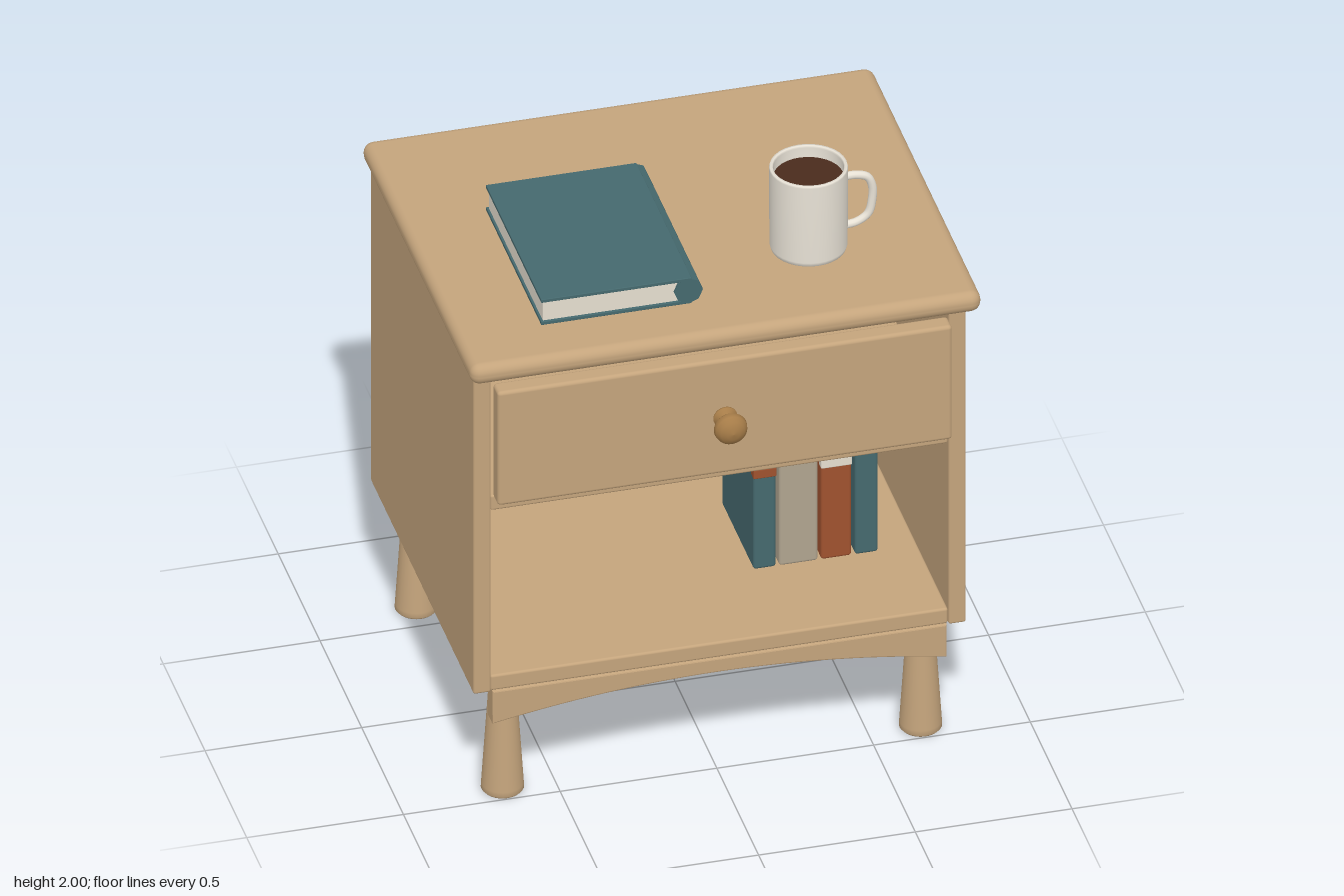
import * as THREE from 'three';
import { RoundedBoxGeometry } from 'three/addons/geometries/RoundedBoxGeometry.js';

const mat = (color, opts = {}) => {
  const m = new THREE.MeshStandardMaterial(opts);
  m.color.set(color);
  return m;
};

export function createModel() {
  const root = new THREE.Group();
  const wood = mat(0xc4a47c), brass = mat(0xa67c48), teal = mat(0x45696e);
  const rust = mat(0xa0522f), stone = mat(0xb0a48f), cream = mat(0xe6dfd0);
  const china = mat(0xe8e2d6, { side: THREE.DoubleSide }), coffee = mat(0x4a2b1c);
  const tealFlat = mat(0x45696e, { flatShading: true });

  const add = (name, geo, material, parent = root) => {
    const mesh = new THREE.Mesh(geo, material);
    mesh.name = name;
    parent.add(mesh);
    return mesh;
  };
  // Softened box given by its extents on each axis
  const box = (name, [x0, x1], [y0, y1], [z0, z1], material, r = 0.008, parent = root) => {
    const geo = new RoundedBoxGeometry(x1 - x0, y1 - y0, z1 - z0, 3, r);
    geo.translate((x0 + x1) / 2, (y0 + y1) / 2, (z0 + z1) / 2);
    return add(name, geo, material, parent);
  };
  const group = (name) => {
    const g = new THREE.Group();
    g.name = name;
    root.add(g);
    return g;
  };
  const lathe = (pts, n) => new THREE.LatheGeometry(pts.map(([x, y]) => new THREE.Vector2(x, y)), n);

  // Cabinet body
  const inner = [-0.73, 0.73];
  box('top', [-0.815, 0.815], [1.625, 1.697], [-0.7, 0.625], wood, 0.033);
  for (const s of [-1, 1]) {
    box(s > 0 ? 'leftSide' : 'rightSide', s > 0 ? [0.73, 0.786] : [-0.786, -0.73],
      [0.43, 1.626], [-0.697, 0.537], wood);
  }
  box('upperPanel', inner, [1.57, 1.618], [-0.685, 0.527], wood);
  box('drawerDivider', inner, [1.097, 1.153], [-0.67, 0.53], wood);
  box('bottomShelf', inner, [0.43, 0.486], [-0.685, 0.53], wood);
  box('backPanel', inner, [0.484, 1.572], [-0.685, -0.645], wood);

  // Drawer with a turned knob
  box('drawerFront', [-0.725, 0.725], [1.157, 1.577], [0.537, 0.6], wood, 0.012);
  const knob = add('knob', lathe([
    [0, -0.005], [0.038, -0.005], [0.038, 0.006], [0.024, 0.016], [0.019, 0.03], [0.024, 0.04],
    [0.044, 0.048], [0.053, 0.062], [0.05, 0.078], [0.038, 0.092], [0.02, 0.101], [0, 0.104],
  ], 32), brass);
  knob.rotation.x = Math.PI / 2;
  knob.position.set(0, 1.365, 0.6);

  // Arched apron under the shelf
  const arch = new THREE.Shape();
  arch.moveTo(-0.72, 0.315);
  arch.quadraticCurveTo(0, 0.452, 0.72, 0.315);
  arch.lineTo(0.72, 0.425);
  arch.lineTo(-0.72, 0.425);
  const apron = add('apron', new THREE.ExtrudeGeometry(arch, {
    depth: 0.05, bevelThickness: 0.005, bevelSize: 0.005, bevelSegments: 2, curveSegments: 28,
  }), wood);
  apron.position.z = 0.48;

  // Tapered round legs, wider at the foot
  const legGeo = lathe([[0, 0], [0.06, 0], [0.067, 0.008], [0.066, 0.025], [0.042, 0.4], [0.041, 0.435]], 28);
  for (const x of [-0.667, 0.667]) {
    for (const z of [0.435, -0.597]) {
      add('leg', legGeo, wood).position.set(x, 0, z);
    }
  }

  // Upright books: x range, top, cover, band height, band material
  const shelfBooks = group('shelfBooks');
  for (const [x0, x1, top, cover, bandY, band] of [
    [0.205, 0.277, 0.94, teal, 0.84, rust],
    [0.287, 0.411, 1.0, stone, 0.892, teal],
    [0.421, 0.518, 0.94, rust, 0.842, cream],
    [0.529, 0.603, 1.0, teal, 0.89, rust],
  ]) {
    box('uprightBook', [x0, x1], [0.486, top], [-0.21, 0.17], cover, 0.01, shelfBooks);
    box('spineBand', [x0 - 0.001, x1 + 0.001], [bandY - 0.017, bandY + 0.017], [0.14, 0.174],
      band, 0.004, shelfBooks);
  }

  // Book lying on the top
  const flatBook = group('lyingBook');
  const depth = [-0.22, 0.443];
  box('lowerCover', [-0.545, -0.065], [1.697, 1.709], depth, teal, 0.002, flatBook);
  box('upperCover', [-0.545, -0.065], [1.779, 1.791], depth, teal, 0.002, flatBook);
  box('pages', [-0.538, -0.075], [1.707, 1.781], [-0.212, 0.435], cream, 0.002, flatBook);
  const spine = add('bookSpine', new THREE.CylinderGeometry(0.046, 0.046, 0.663, 8), tealFlat, flatBook);
  spine.rotation.x = Math.PI / 2;
  spine.position.set(-0.075, 1.744, 0.1115);

  // Mug with coffee and handle
  const mug = group('mug');
  mug.position.set(0.363, 1.697, 0.235);
  add('cup', lathe([
    [0, 0], [0.108, 0], [0.117, 0.006], [0.121, 0.02], [0.122, 0.296], [0.12, 0.303], [0.112, 0.303],
    [0.109, 0.296], [0.109, 0.03], [0, 0.025],
  ], 32), china, mug);
  const surface = add('coffee', new THREE.CircleGeometry(0.11, 32), coffee, mug);
  surface.rotation.x = -Math.PI / 2;
  surface.position.y = 0.262;
  const path = new THREE.CatmullRomCurve3([
    [0.112, 0.243], [0.15, 0.243], [0.187, 0.23], [0.203, 0.195], [0.203, 0.145],
    [0.19, 0.095], [0.155, 0.07], [0.112, 0.063],
  ].map(([x, y]) => new THREE.Vector3(x, y, 0)));
  add('handle', new THREE.TubeGeometry(path, 36, 0.0135, 10), china, mug);

  return root;
}
